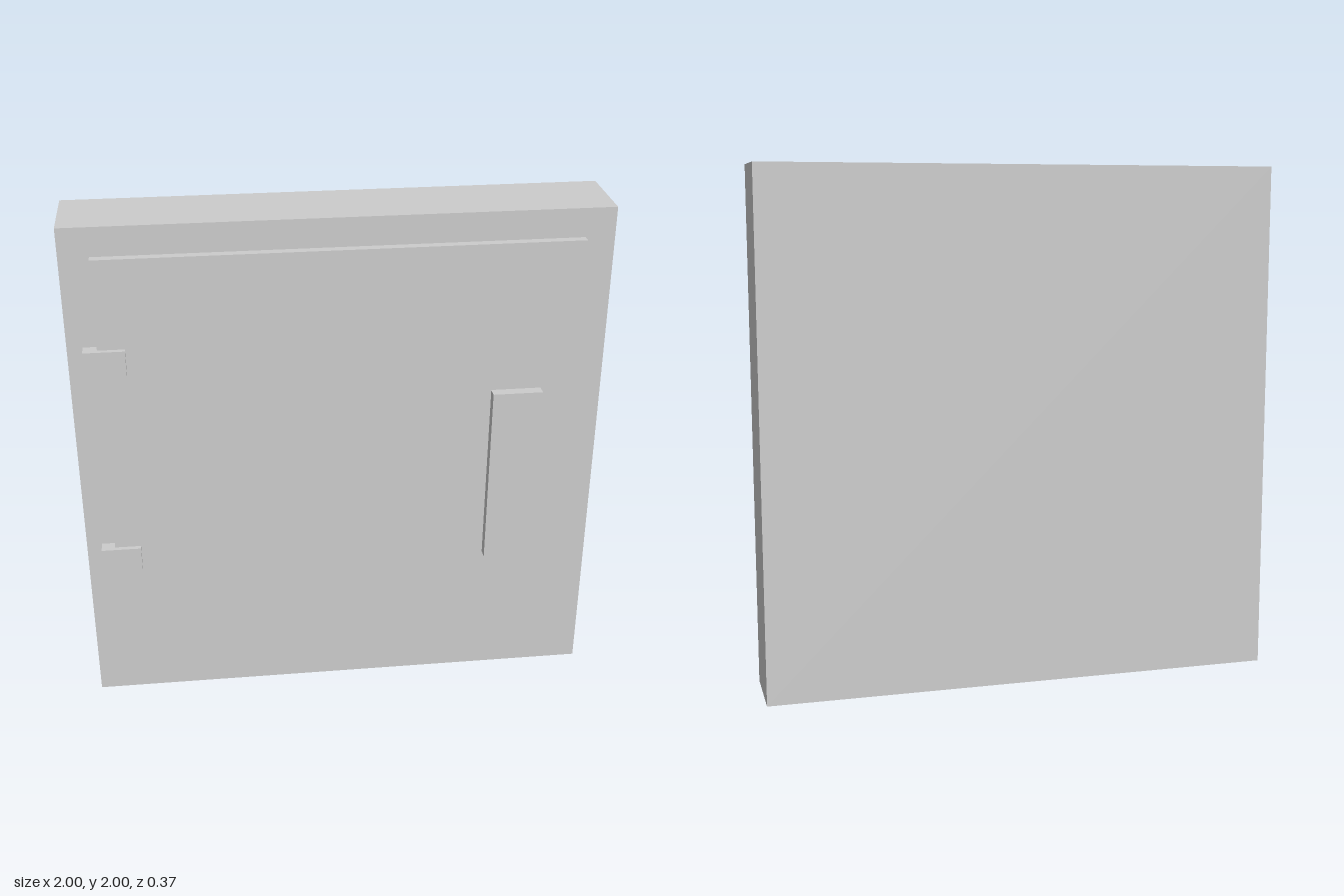
import * as THREE from 'three';

export function createModel() {
  const model = new THREE.Group();
  const material = new THREE.MeshStandardMaterial({ color: 0xcccccc, flatShading: true });

  // Box given by its lower and upper limits on each axis
  function addBox(name, [x0, x1], [y0, y1], [z0, z1]) {
    const mesh = new THREE.Mesh(new THREE.BoxGeometry(x1 - x0, y1 - y0, z1 - z0), material);
    mesh.position.set((x0 + x1) / 2, (y0 + y1) / 2, (z0 + z1) / 2);
    mesh.name = name;
    model.add(mesh);
  }

  const back = -0.187, bodyFront = 0.113, doorFront = 0.146;

  // Cabinet body and the raised door panel
  addBox('cabinetBody', [-1, 1], [0, 2], [back, bodyFront]);
  addBox('door', [-0.89, 0.89], [0.11, 1.89], [bodyFront, doorFront]);

  // Handle plate on the door
  addBox('handle', [0.567, 0.757], [0.58, 1.306], [doorFront, 0.187]);

  // Two hinges bridging the body and the door edge
  for (const [name, y] of [['lowerHinge', 0.648], ['upperHinge', 1.49]]) {
    addBox(name, [-0.942, -0.79], [y - 0.056, y + 0.056], [bodyFront, 0.165]);
  }

  return model;
}
